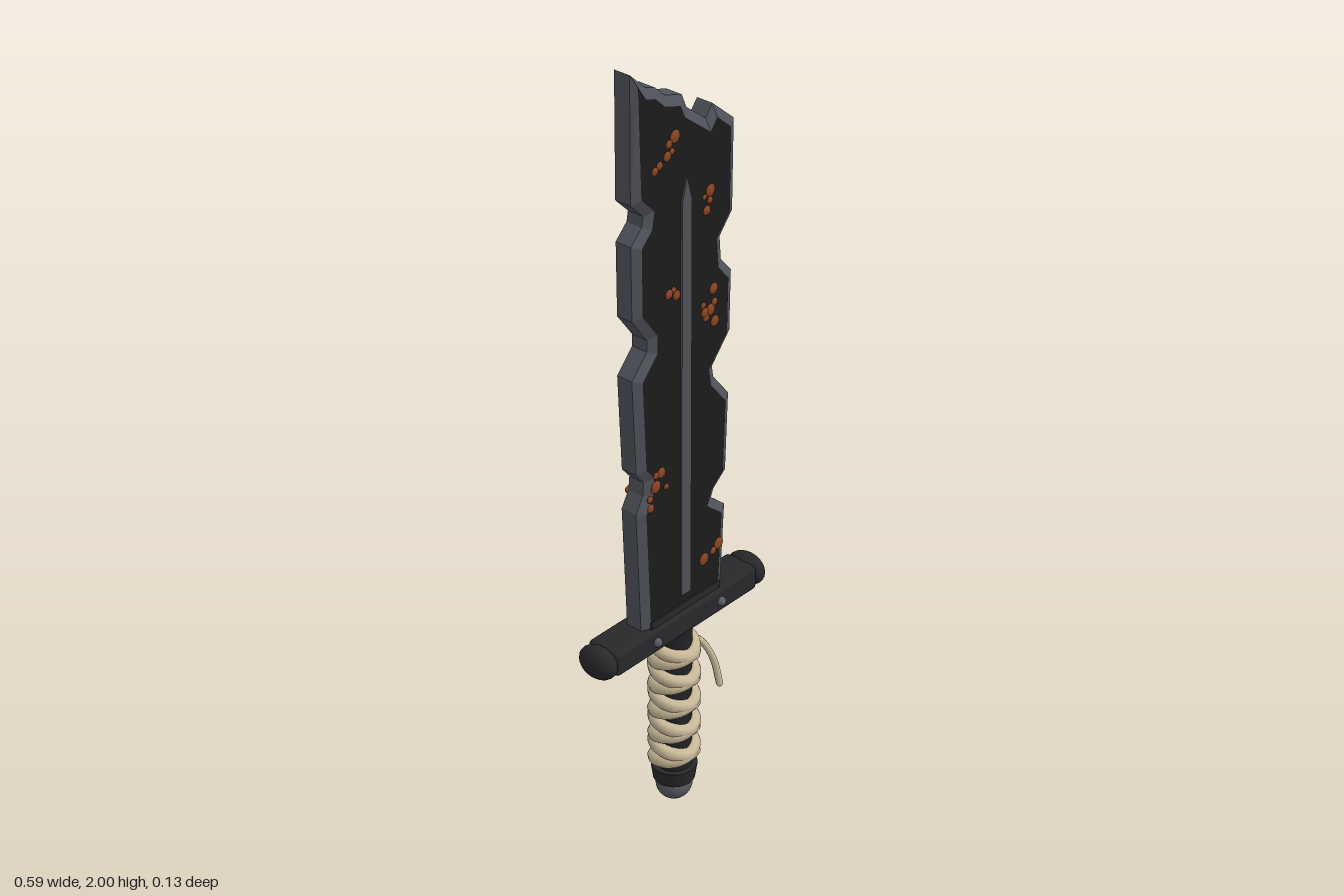
import * as THREE from 'three';
import { RoundedBoxGeometry } from 'three/addons/geometries/RoundedBoxGeometry.js';

const mat = (color) => new THREE.MeshStandardMaterial({ color });

class Wrap extends THREE.Curve {
  // Helix around the grip; dir sets which way it winds
  constructor(dir, radius, y0, y1, pitch) {
    super();
    Object.assign(this, { dir, radius, y0, y1, pitch });
  }
  getPoint(t, target = new THREE.Vector3()) {
    const y = this.y0 + (this.y1 - this.y0) * t;
    const a = (2 * Math.PI * (y - this.y0)) / this.pitch;
    return target.set(this.dir * this.radius * Math.sin(a), y, -this.radius * Math.cos(a));
  }
}

export function createModel() {
  const root = new THREE.Group();
  root.name = 'brokenSword';

  const faceMat = mat(0x1b1b1d), edgeMat = mat(0x50535b), fullerMat = mat(0x505157);
  const guardMat = mat(0x28282b), clothMat = mat(0xc9b999), rustMat = mat(0x8a4520);
  const coreMat = mat(0x222226), steelMat = mat(0x5a5c64);

  const add = (name, geometry, material, x = 0, y = 0, z = 0, parent = root) => {
    const mesh = new THREE.Mesh(geometry, material);
    mesh.name = name;
    mesh.position.set(x, y, z);
    parent.add(mesh);
    return mesh;
  };
  const shapeOf = (pts) => new THREE.Shape(pts.map(([x, y]) => new THREE.Vector2(x, y)));

  // Blade: chipped outline, dark faces and bevelled grey edge
  const outline = [
    [-0.14, 0.56], [0.14, 0.56], [0.153, 0.79], [0.105, 0.83], [0.113, 0.85], [0.155, 0.885],
    [0.163, 1.09], [0.11, 1.155], [0.105, 1.185], [0.165, 1.255], [0.168, 1.41],
    [0.133, 1.45], [0.128, 1.51], [0.17, 1.56], [0.172, 1.785], [0.1, 1.845], [0.078, 1.817],
    [0.015, 1.865], [0, 1.9], [-0.055, 1.917], [-0.085, 1.945], [-0.115, 1.955], [-0.164, 2],
    [-0.165, 1.695], [-0.125, 1.655], [-0.13, 1.63], [-0.165, 1.595], [-0.163, 1.41],
    [-0.115, 1.345], [-0.115, 1.315], [-0.165, 1.26], [-0.153, 1.01], [-0.128, 0.98],
    [-0.132, 0.945], [-0.155, 0.905],
  ];
  const bladeGeo = new THREE.ExtrudeGeometry(shapeOf(outline), {
    depth: 0.044, bevelEnabled: true, bevelThickness: 0.012, bevelSize: 0.022,
    bevelOffset: -0.022, bevelSegments: 1,
  });
  bladeGeo.translate(0, 0, -0.022);
  add('blade', bladeGeo, [faceMat, edgeMat]);

  // Raised pointed rib showing on both faces
  const rib = shapeOf([[-0.016, 0.62], [0.016, 0.62], [0.016, 1.65], [0, 1.71], [-0.016, 1.65]]);
  const ribGeo = new THREE.ExtrudeGeometry(rib, { depth: 0.078, bevelEnabled: false });
  add('centreRib', ribGeo, fullerMat, 0, 0, -0.039);

  // Rust spots [x, y, radius] on both faces
  const rust = new THREE.Group();
  rust.name = 'rustSpots';
  root.add(rust);
  const spots = [
    [-0.035, 1.817, 0.016], [-0.055, 1.805, 0.01], [-0.06, 1.778, 0.012], [-0.085, 1.765, 0.01],
    [-0.1, 1.757, 0.01], [-0.045, 1.785, 0.008], [0.082, 1.645, 0.015], [0.07, 1.6, 0.012],
    [0.08, 1.622, 0.009], [0.062, 1.635, 0.007], [-0.055, 1.44, 0.012], [-0.03, 1.428, 0.012],
    [-0.04, 1.445, 0.008], [0.095, 1.395, 0.014], [0.065, 1.345, 0.012], [0.085, 1.345, 0.015],
    [0.1, 1.31, 0.014], [0.07, 1.33, 0.01], [0.098, 1.36, 0.01], [0.06, 1.365, 0.008],
    [-0.082, 0.99, 0.014], [-0.1, 0.96, 0.016], [-0.118, 0.91, 0.011], [-0.065, 0.945, 0.008],
    [-0.1, 0.99, 0.009], [-0.12, 0.935, 0.009], [0.068, 0.68, 0.016], [0.12, 0.7, 0.016],
    [0.1, 0.688, 0.01],
  ];
  const spotGeo = new THREE.SphereGeometry(1, 10, 8);
  for (const [x, y, r] of spots)
    for (const side of [1, -1])
      add('rustSpot', spotGeo, rustMat, x, y, side * 0.034, rust).scale.set(r, r, 0.005);

  // Crossguard with collar, end knobs and front rivets
  add('guard', new RoundedBoxGeometry(0.5, 0.066, 0.096, 2, 0.012), guardMat, 0, 0.543, 0);
  add('bladeCollar', new THREE.BoxGeometry(0.24, 0.03, 0.076), guardMat, 0, 0.58, 0);
  for (const side of [1, -1]) {
    const knob = add('guardKnob', new THREE.SphereGeometry(1, 20, 14), guardMat, side * 0.264, 0.543, 0);
    knob.scale.set(0.032, 0.042, 0.054);
    add('guardRivet', new THREE.SphereGeometry(0.012, 12, 8), steelMat, side * 0.114, 0.543, 0.05);
  }

  // Grip core with two cords wound in opposite directions
  add('gripCore', new THREE.CylinderGeometry(0.044, 0.044, 0.44, 20), coreMat, 0, 0.31, 0);
  for (const dir of [1, -1]) {
    const path = new Wrap(dir, 0.048, 0.115, 0.5, 0.073);
    add('gripCord', new THREE.TubeGeometry(path, 160, 0.0175, 8, false), clothMat);
    for (const t of [0, 1]) {
      const p = path.getPoint(t);
      add('cordEnd', new THREE.SphereGeometry(0.0175, 10, 8), clothMat, p.x, p.y, p.z);
    }
  }

  // Loose cord end hanging from the grip
  const tail = new THREE.CatmullRomCurve3([
    new THREE.Vector3(0.045, 0.465, 0.012), new THREE.Vector3(0.082, 0.425, 0.022),
    new THREE.Vector3(0.105, 0.37, 0.035), new THREE.Vector3(0.115, 0.3, 0.046),
  ]);
  add('looseCord', new THREE.TubeGeometry(tail, 20, 0.009, 8, false), clothMat);
  add('looseCordTip', new THREE.SphereGeometry(0.009, 8, 6), clothMat, 0.115, 0.3, 0.046);

  // Pommel ring and ball
  add('pommelRing', new THREE.CylinderGeometry(0.058, 0.052, 0.042, 20), guardMat, 0, 0.084, 0);
  add('pommelBall', new THREE.SphereGeometry(0.046, 20, 14), steelMat, 0, 0.046, 0);

  return root;
}
